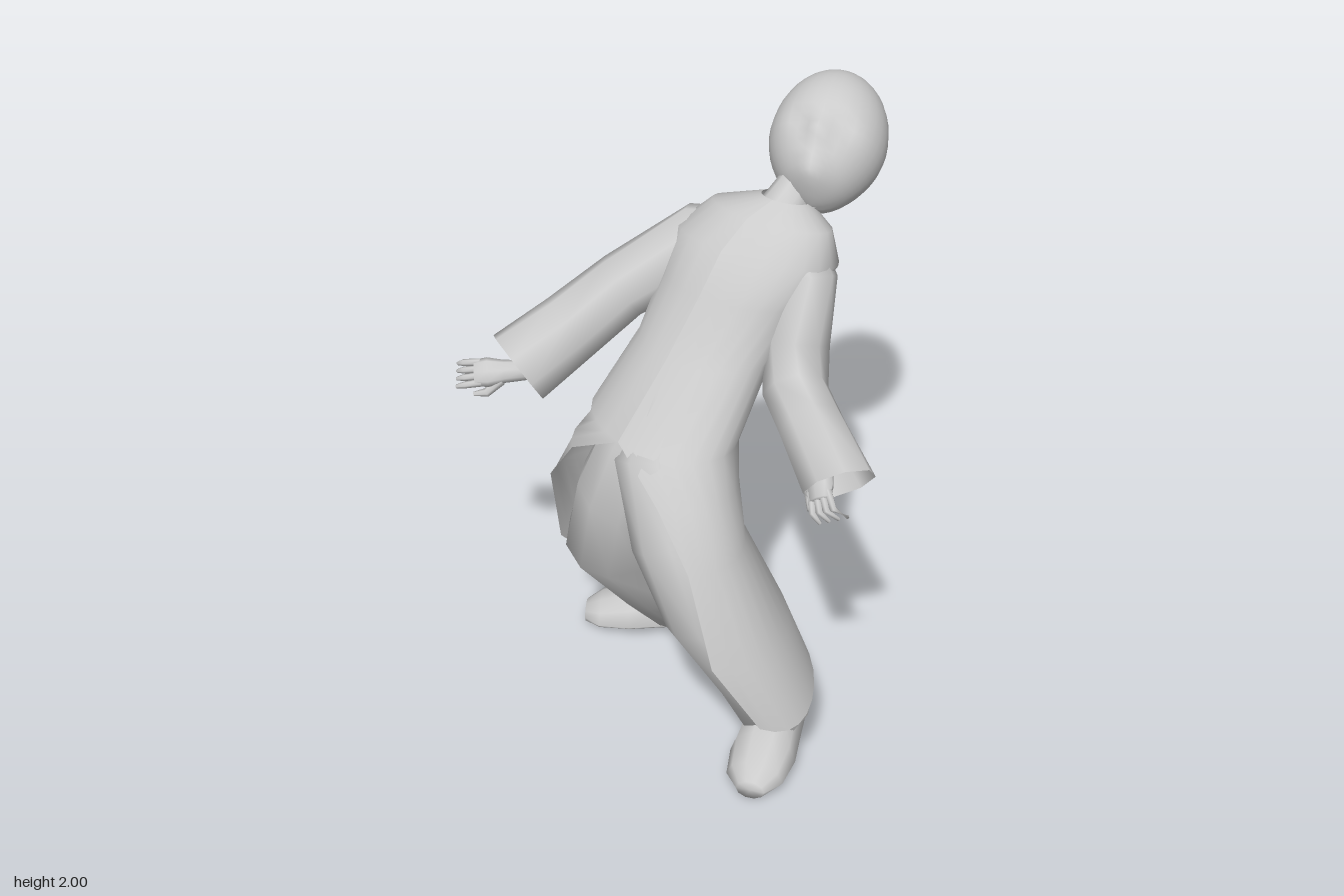
import * as THREE from 'three';

const V = (x, y, z) => new THREE.Vector3(x, y, z);
const material = new THREE.MeshStandardMaterial({ color: 0xcccccc, side: THREE.DoubleSide });

function mesh(name, geometry) {
  const m = new THREE.Mesh(geometry, material);
  m.name = name;
  return m;
}

// Skin over rows of points; closed rows wrap round
function skin(rows, closed = true) {
  const n = rows[0].length, pos = [], idx = [];
  rows.forEach(r => r.forEach(p => pos.push(p.x, p.y, p.z)));
  for (let i = 0; i < rows.length - 1; i++) {
    for (let j = 0; j < (closed ? n : n - 1); j++) {
      const k = (j + 1) % n, a = i * n + j, b = i * n + k, c = a + n, d = b + n;
      idx.push(a, b, c, b, d, c);
    }
  }
  const g = new THREE.BufferGeometry();
  g.setAttribute('position', new THREE.Float32BufferAttribute(pos, 3));
  g.setIndex(idx);
  g.computeVertexNormals();
  return g;
}

const collapse = row => {
  const c = row.reduce((s, p) => s.add(p), V(0, 0, 0)).divideScalar(row.length);
  return row.map(() => c.clone());
};

// Tube with a varying oval section: stations are [x, y, z, side radius, upper radius, slant]
function limb(stations, { sides = 10, capStart = false, capEnd = false, up = V(0, 1, 0) } = {}) {
  const pts = stations.map(s => V(s[0], s[1], s[2]));
  const rows = stations.map((s, i) => {
    const t = pts[Math.min(i + 1, pts.length - 1)].clone().sub(pts[Math.max(i - 1, 0)]).normalize();
    const side = new THREE.Vector3().crossVectors(up, t).normalize();
    const top = new THREE.Vector3().crossVectors(t, side).addScaledVector(t, s[5] ?? 0);
    return Array.from({ length: sides }, (_, j) => {
      const q = j / sides * Math.PI * 2;
      return pts[i].clone().addScaledVector(side, Math.cos(q) * s[3])
        .addScaledVector(top, Math.sin(q) * (s[4] ?? s[3]));
    });
  });
  if (capStart) rows.unshift(collapse(rows[0]));
  if (capEnd) rows.push(collapse(rows[rows.length - 1]));
  return skin(rows);
}

// Robe section: y, centre x and z, half width, half depth, yaw, tilt, half opening (degrees)
const robeRows = [
  [1.71, 0.35, -0.20, 0.075, 0.07, 35, 0.3, 0],
  [1.655, 0.31, -0.20, 0.20, 0.13, 35, 0.3, 0],
  [1.57, 0.27, -0.17, 0.265, 0.19, 35, 0.3, 0],
  [1.46, 0.21, -0.12, 0.24, 0.19, 36, 0.2, 0],
  [1.30, 0.12, -0.04, 0.22, 0.18, 40, 0.1, 0],
  [1.10, 0.00, 0.09, 0.265, 0.185, 47, 0, 0],
  [0.98, -0.03, 0.13, 0.31, 0.21, 49, 0, 42],
  [0.80, -0.06, 0.15, 0.375, 0.25, 49, 0, 65],
  [0.50, 0.02, 0.13, 0.47, 0.30, 53, 0, 62],
  [0.28, 0.105, 0.065, 0.54, 0.265, 57, 0, 70],
];
function robeSection([y, cx, cz, a, b, yaw, tilt, gap], hem) {
  const w = THREE.MathUtils.degToRad(yaw), g = THREE.MathUtils.degToRad(gap);
  return Array.from({ length: 25 }, (_, j) => {
    const q = g + (Math.PI * 2 - 2 * g) * j / 24;
    const u = Math.sin(q) * a, v = Math.cos(q) * b;
    const drop = hem * (Math.abs(Math.sin(q)) ** 6 * 0.06 - 0.03);
    return V(cx + u * Math.cos(w) - v * Math.sin(w), y + v * tilt - drop,
      cz + u * Math.sin(w) + v * Math.cos(w));
  });
}

// Shoe lofted from heel to toe, flat underneath, with the heel lifted
function shoe(name, heel, toe, lift) {
  const h = V(heel[0], 0, heel[1]), d = V(toe[0], 0, toe[1]).sub(h);
  const side = V(d.z, 0, -d.x).normalize();
  const rows = [[0, 0.06, 0.12], [0.1, 0.085, 0.15], [0.4, 0.095, 0.16], [0.65, 0.105, 0.13],
    [0.88, 0.09, 0.10], [1, 0.045, 0.07]].map(([t, w, top]) =>
    Array.from({ length: 10 }, (_, j) => {
      const q = j / 10 * Math.PI * 2, s = Math.sin(q);
      return h.clone().addScaledVector(d, t).addScaledVector(side, Math.cos(q) * w)
        .setY(lift * (1 - t) + (s < 0 ? 0.035 + s * 0.032 : 0.035 + s * (top - 0.035)));
    }));
  return mesh(name, skin([collapse(rows[0]), ...rows, collapse(rows[5])]));
}

// Hand pointing along +z, rolled about the wrist; thumb is +1 or -1 for its side
function hand(name, wrist, target, { curl, thumb, roll }) {
  const g = new THREE.Group();
  g.name = name;
  const cap = { sides: 6, capStart: true, capEnd: true };
  g.add(mesh('palm', limb([[0, 0, -0.06, 0.03, 0.025], [0, 0, 0.02, 0.036, 0.028],
    [0, 0, 0.07, 0.046, 0.028], [0, -0.004, 0.11, 0.04, 0.018]], { ...cap, sides: 8 })));
  for (let i = 0; i < 4; i++) {
    const x = (i - 1.5) * 0.021, c = curl * (1.2 - thumb * (i - 1.5) * 0.2);
    g.add(mesh('finger', limb([[x, 0, 0.09, 0.012], [x * 1.1, -c * 0.3, 0.14, 0.011],
      [x * 1.15, -c, 0.18 - c * 0.5, 0.006]], cap)));
  }
  g.add(mesh('thumb', limb([[thumb * 0.025, -0.005, 0.03, 0.018], [thumb * 0.06, -0.02, 0.075, 0.014],
    [thumb * 0.062, -0.03, 0.115, 0.007]], cap)));
  g.position.set(...wrist);
  g.lookAt(V(...target));
  g.rotateZ(roll);
  return g;
}

// Head: a sphere narrowed to a chin, with sockets, nose and lips pushed in or out
function makeHead() {
  const geo = new THREE.SphereGeometry(1, 32, 24), p = geo.attributes.position;
  const bump = (x, y, cx, cy, sx, sy) => Math.exp(-(((x - cx) / sx) ** 2) - ((y - cy) / sy) ** 2);
  for (let i = 0; i < p.count; i++) {
    let x = p.getX(i), y = p.getY(i), z = p.getZ(i);
    const low = Math.max(0, -y), ox = Math.abs(x);
    if (z > 0) {
      z += 0.17 * bump(x, y, 0, -0.3, 0.13, 0.16) + 0.12 * bump(x, y, 0, -0.6, 0.25, 0.09)
        - 0.12 * bump(ox, y, 0.36, -0.1, 0.2, 0.12) + 0.28 * bump(x, y, 0, -0.82, 0.35, 0.16);
    } else z *= 1 - 0.15 * low;
    x *= 1 - 0.22 * low * low;
    p.setXYZ(i, x * 0.178, y * 0.23, z * 0.18);
  }
  geo.computeVertexNormals();
  const head = mesh('head', geo);
  const f = V(-0.13, 0.83, 0.52).normalize(), up = V(0.23, 0.45, -0.86);
  const side = new THREE.Vector3().crossVectors(up, f).normalize();
  up.crossVectors(f, side);
  head.quaternion.setFromRotationMatrix(new THREE.Matrix4().makeBasis(side, up, f));
  head.position.set(0.475, 1.81, -0.36);
  return head;
}

export function createModel() {
  const model = new THREE.Group();
  model.name = 'leaningFigure';

  // Head and neck
  model.add(makeHead());
  model.add(mesh('neck', limb([[0.33, 1.66, -0.18, 0.075], [0.37, 1.72, -0.215, 0.062],
    [0.43, 1.77, -0.28, 0.07]])));

  // Robe, open at the front below the waist
  model.add(mesh('robe', skin(robeRows.map((r, i) =>
    robeSection(r, i === robeRows.length - 1 ? 1 : 0)), false)));

  // Trouser legs, rising inside the robe
  const across = { up: V(0.7, 0, 0.7), capEnd: true };
  model.add(mesh('leftTrouserLeg', limb([[0.05, 1.18, 0.08, 0.12], [0.0, 1.02, 0.18, 0.15],
    [0.06, 0.8, 0.27, 0.16], [0.15, 0.58, 0.345, 0.15], [0.27, 0.32, 0.3, 0.125],
    [0.36, 0.11, 0.26, 0.12]], across)));
  model.add(mesh('rightTrouserLeg', limb([[0.02, 1.18, 0.04, 0.12], [-0.05, 1.02, 0.1, 0.15],
    [-0.11, 0.82, 0.06, 0.165], [-0.16, 0.6, 0.0, 0.16], [-0.05, 0.32, -0.17, 0.135],
    [0.04, 0.14, -0.27, 0.12]], across)));

  // Shoes, turned outwards
  model.add(shoe('leftShoe', [0.39, 0.13], [0.28, 0.56], 0.03));
  model.add(shoe('rightShoe', [0.16, -0.29], [-0.28, -0.32], 0.04));

  // Wide sleeves flaring to slanted cuffs
  model.add(mesh('rightSleeve', limb([[0.25, 1.575, -0.22, 0.09, 0.07], [0.1, 1.525, -0.255, 0.13, 0.12],
    [-0.14, 1.385, -0.215, 0.11, 0.105], [-0.3, 1.27, -0.15, 0.11, 0.115],
    [-0.455, 1.17, -0.075, 0.11, 0.135]], { sides: 8, capStart: true })));
  model.add(mesh('leftSleeve', limb([[0.35, 1.61, -0.14, 0.11, 0.08], [0.41, 1.51, -0.06, 0.10, 0.13],
    [0.39, 1.34, 0.03, 0.1, 0.115], [0.39, 1.225, 0.11, 0.1, 0.115], [0.44, 1.195, 0.26, 0.1, 0.1],
    [0.515, 1.16, 0.495, 0.11, 0.095, 0.5]], { sides: 8, capStart: true, up: V(0, 1, 0.25) })));

  // Hands, thumbs turned down
  model.add(hand('rightHand', [-0.48, 1.155, -0.075], [-0.67, 1.155, -0.05], { curl: 0.03, thumb: 1, roll: -0.9 }));
  model.add(hand('leftHand', [0.47, 1.17, 0.42], [0.45, 1.1, 0.58], { curl: 0.06, thumb: -1, roll: 0.7 }));
  return model;
}
